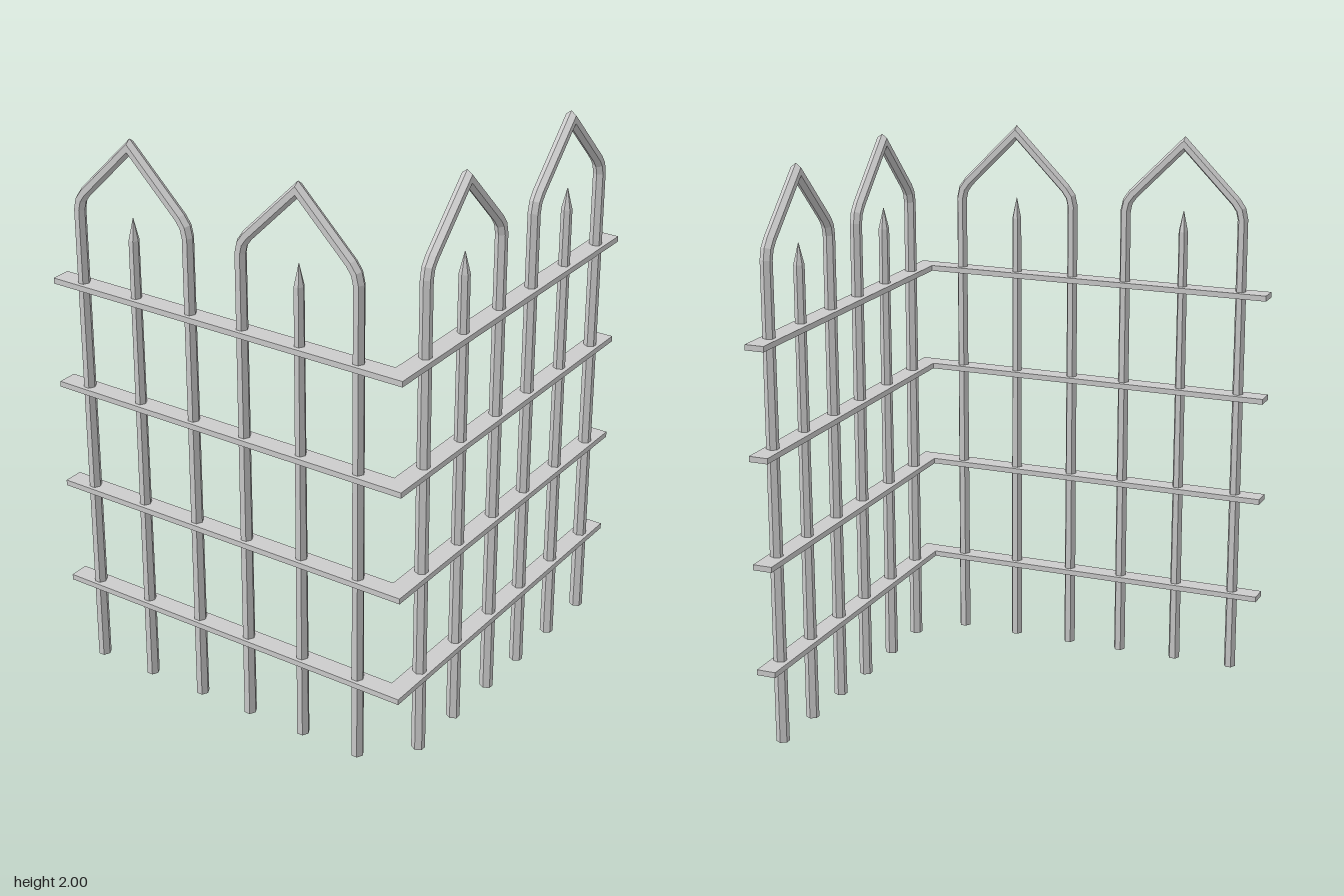
import * as THREE from 'three';

const SIDES = 6;
const PANEL = 0.657; // distance of each fence panel from the centre

const material = new THREE.MeshStandardMaterial({ color: 0xcccccc, flatShading: true });

// Sweeps a hexagonal bar along a path in the xy plane with mitred corners.
// Each path point is [x, y, radius].
function sweepBar(path) {
  const dir = (a, b) => new THREE.Vector2(b[0] - a[0], b[1] - a[1]).normalize();
  const last = path.length - 1;
  const rings = path.map((p, i) => {
    const before = dir(path[Math.max(i - 1, 0)], path[Math.max(i, 1)]);
    const after = dir(path[Math.min(i, last - 1)], path[Math.min(i + 1, last)]);
    const t = before.clone().add(after).normalize();
    const miter = 1 / t.dot(before);
    return Array.from({ length: SIDES }, (_, j) => {
      const a = (j / SIDES) * Math.PI * 2;
      const w = Math.cos(a) * p[2] * miter;
      return [p[0] - t.y * w, p[1] + t.x * w, Math.sin(a) * p[2] * 1.12];
    });
  });
  const pos = [];
  const tri = (a, b, c) => pos.push(...a, ...b, ...c);
  for (let j = 0; j < SIDES; j++) {
    const k = (j + 1) % SIDES;
    for (let i = 0; i < last; i++) {
      tri(rings[i][j], rings[i][k], rings[i + 1][k]);
      tri(rings[i][j], rings[i + 1][k], rings[i + 1][j]);
    }
    // End caps
    if (j > 0 && k > 0) {
      tri(rings[0][0], rings[0][k], rings[0][j]);
      tri(rings[last][0], rings[last][j], rings[last][k]);
    }
  }
  const geometry = new THREE.BufferGeometry();
  geometry.setAttribute('position', new THREE.Float32BufferAttribute(pos, 3));
  geometry.computeVertexNormals();
  return geometry;
}

function addMesh(parent, name, geometry) {
  const mesh = new THREE.Mesh(geometry, material);
  mesh.name = name;
  parent.add(mesh);
  return mesh;
}

export function createModel() {
  const model = new THREE.Group();
  model.name = 'cornerFence';

  // Pointed arch: two legs, rounded shoulders and a sharp peak
  const half = [
    [-0.222, 0, 0.0215],
    [-0.222, 1.715, 0.0195],
    [-0.214, 1.75, 0.0195],
    [-0.194, 1.778, 0.0195],
  ];
  const mirrored = half.map(([x, y, r]) => [-x, y, r]).reverse();
  const archGeometry = sweepBar([...half, [0, 1.972, 0.0195], ...mirrored]);

  // Upright with a spear tip in the middle of each arch
  const spikeGeometry = sweepBar([
    [0, 0, 0.0215],
    [0, 1.655, 0.0175],
    [0, 1.73, 0.001],
  ]);

  // Two arched sections on the front panel and two on the side panel
  for (const side of [false, true]) {
    const panel = new THREE.Group();
    panel.name = side ? 'leftPanel' : 'frontPanel';
    for (const centre of [-0.363, 0.288]) {
      const section = new THREE.Group();
      section.name = 'archSection';
      addMesh(section, 'arch', archGeometry);
      addMesh(section, 'spike', spikeGeometry);
      if (side) {
        section.position.set(PANEL, 0, centre);
        section.rotation.y = Math.PI / 2;
      } else {
        section.position.set(centre, 0, PANEL);
      }
      panel.add(section);
    }
    model.add(panel);
  }

  // Flat L-shaped rails joining both panels at the corner
  const outer = 0.69, inner = 0.62, thickness = 0.02;
  const outline = new THREE.Shape([
    [-outer, -outer], [outer, -outer], [outer, outer],
    [inner, outer], [inner, -inner], [-outer, -inner],
  ].map(([x, y]) => new THREE.Vector2(x, y)));
  const railGeometry = new THREE.ExtrudeGeometry(outline, { depth: thickness, bevelEnabled: false });
  railGeometry.rotateX(-Math.PI / 2);
  for (const y of [0.294, 0.677, 1.06, 1.443]) {
    addMesh(model, 'rail', railGeometry).position.y = y - thickness / 2;
  }

  return model;
}
